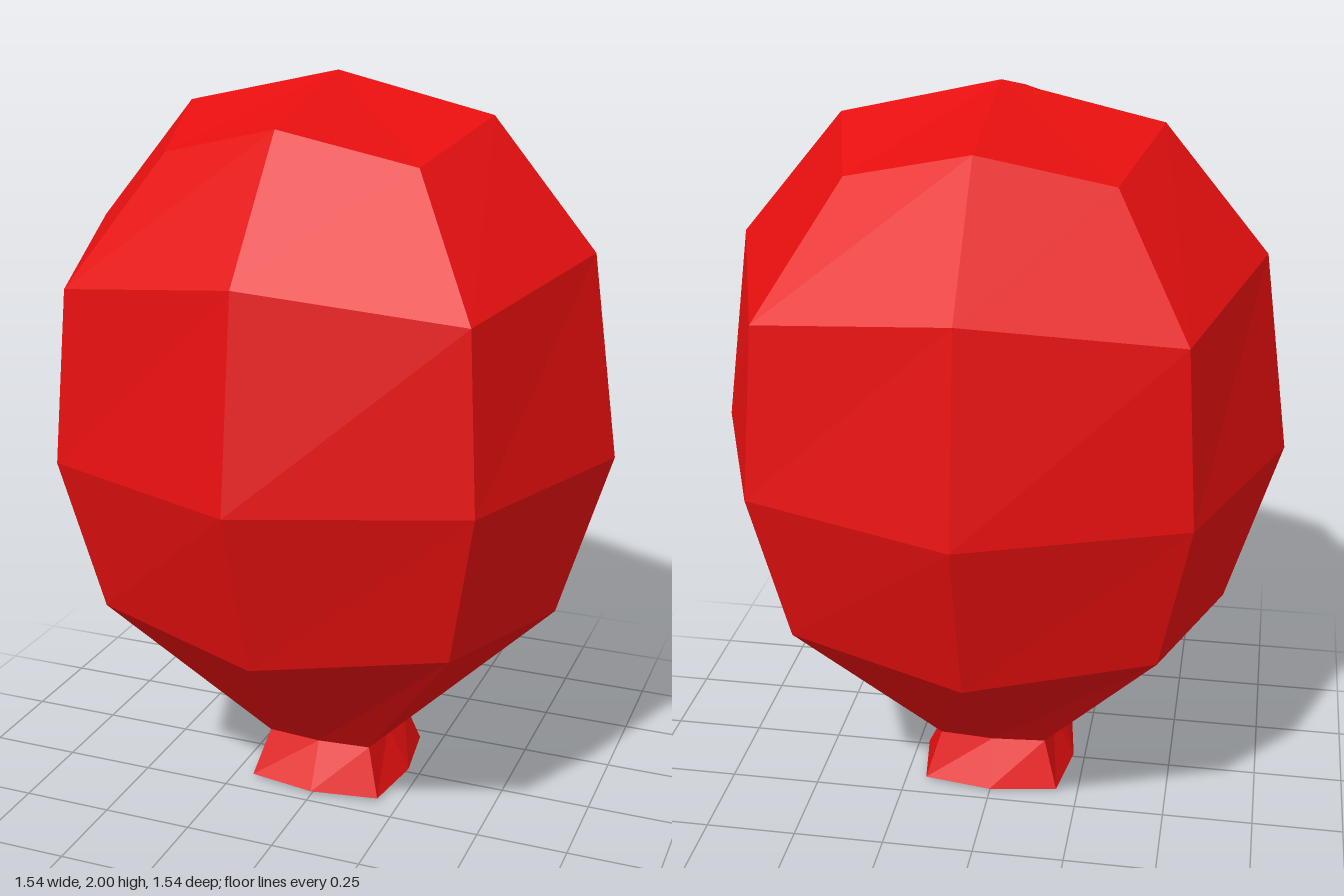
import * as THREE from 'three';

// Each ring: [reach on the axes, height there, reach in x and z at the corners, height there]
const bodyRings = [
  [0.155, 0.14, 0.15, 0.145],
  [0.63, 0.58, 0.48, 0.62],
  [0.77, 1.04, 0.56, 1.04],
  [0.695, 1.575, 0.53, 1.495],
  [0.42, 1.905, 0.335, 1.82],
];
const neckRings = [
  [0.218, 0.01, 0.19, 0.012],
  bodyRings[0],
];

// Eight points around the ring, axis and corner points alternating
function ringPoints([axis, axisY, corner, cornerY]) {
  return Array.from({ length: 8 }, (_, i) => {
    const a = (i * Math.PI) / 4;
    const r = i % 2 ? corner * Math.SQRT2 : axis;
    return [Math.sin(a) * r, i % 2 ? cornerY : axisY, Math.cos(a) * r];
  });
}

// Faceted skin through the rings, closed by an optional bottom or top point
function skin(rings, { bottom, top }) {
  const loops = rings.map(ringPoints);
  const last = loops.length - 1;
  const pos = [];
  const tri = (...points) => points.forEach((p) => pos.push(...p));
  for (let i = 0; i < 8; i++) {
    const j = (i + 1) % 8;
    for (let k = 0; k < last; k++) {
      const [a, b, c, d] = [loops[k][i], loops[k][j], loops[k + 1][j], loops[k + 1][i]];
      tri(a, b, c);
      tri(a, c, d);
    }
    if (bottom !== undefined) tri([0, bottom, 0], loops[0][j], loops[0][i]);
    if (top !== undefined) tri(loops[last][i], loops[last][j], [0, top, 0]);
  }
  const geometry = new THREE.BufferGeometry();
  geometry.setAttribute('position', new THREE.Float32BufferAttribute(pos, 3));
  geometry.computeVertexNormals(); // unshared corners give flat facets
  return geometry;
}

export function createModel() {
  const group = new THREE.Group();
  group.name = 'balloon';
  const red = new THREE.MeshStandardMaterial({ color: 0xe60f0f });
  red.name = 'red';

  // Inflated body
  const body = new THREE.Mesh(skin(bodyRings, { top: 2 }), red);
  body.name = 'body';

  // Flared neck with a closed underside
  const neck = new THREE.Mesh(skin(neckRings, { bottom: 0 }), red);
  neck.name = 'neck';

  group.add(body, neck);
  return group;
}
